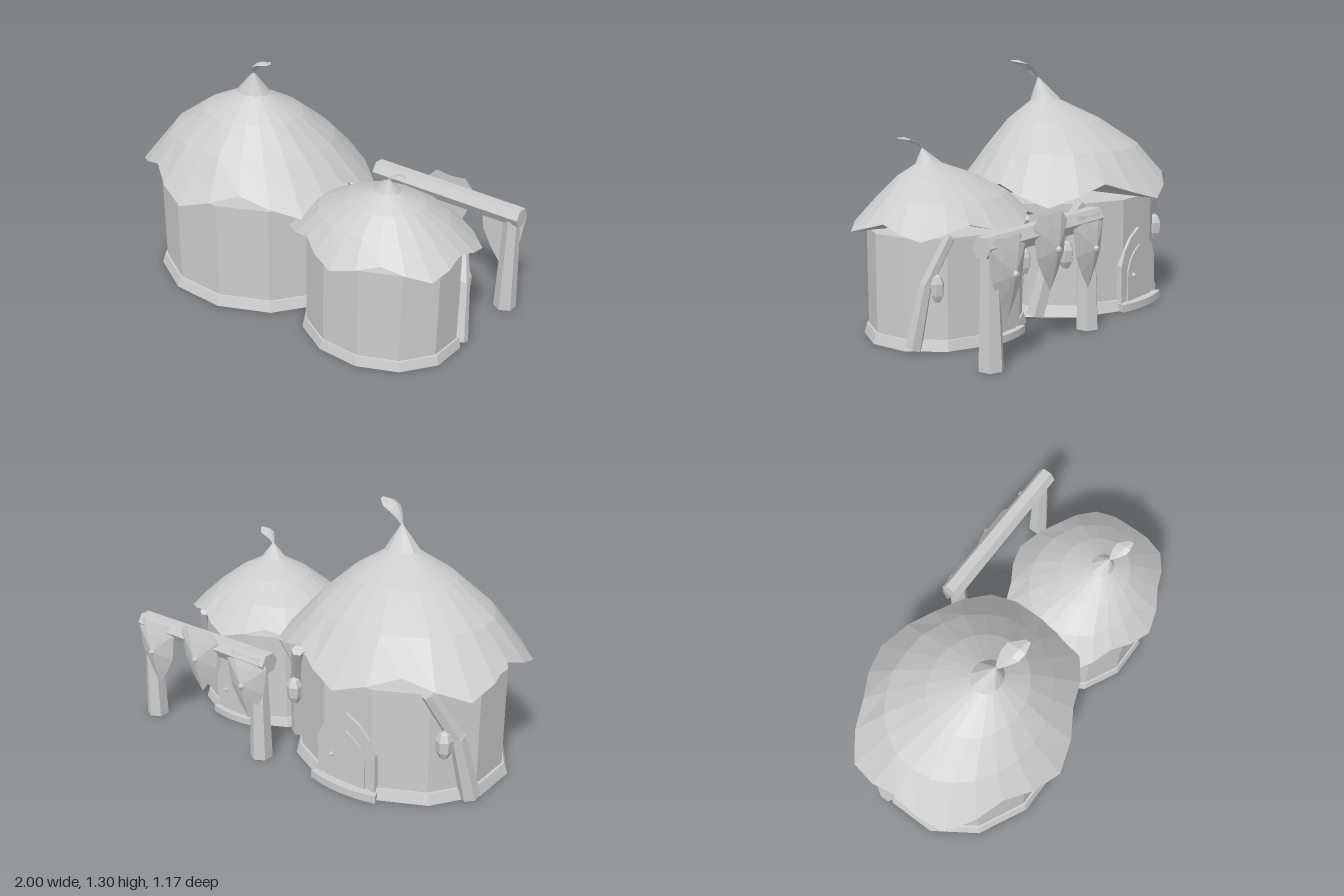
import * as THREE from 'three';

const grey = new THREE.MeshStandardMaterial({ color: 0xcccccc, flatShading: true, side: THREE.DoubleSide });
grey.name = 'plainGrey';
const OVAL = 0.866; // huts are narrower in depth than in width

function add(parent, name, geometry, x = 0, y = 0, z = 0) {
  const mesh = new THREE.Mesh(geometry, grey);
  mesh.name = name;
  mesh.position.set(x, y, z);
  parent.add(mesh);
  return mesh;
}

function group(parent, name) {
  const g = new THREE.Group();
  g.name = name;
  parent.add(g);
  return g;
}

// Skin a list of rings, each an array of [x, y, z] with the same count
function loft(rings, closed = true) {
  const n = rings[0].length, pos = rings.flat(2), index = [];
  for (let j = 0; j < rings.length - 1; j++) {
    for (let i = 0; i < (closed ? n : n - 1); i++) {
      const k = (i + 1) % n, a = j * n, b = a + n;
      index.push(a + i, b + i, b + k, a + i, b + k, a + k);
    }
  }
  const g = new THREE.BufferGeometry();
  g.setAttribute('position', new THREE.Float32BufferAttribute(pos, 3));
  g.setIndex(index);
  const flat = g.toNonIndexed();
  flat.computeVertexNormals();
  return flat;
}

// Oval ring around a shifted centre; shape(i) gives [radius, height]
function ring(n, cx, cz, shape) {
  return Array.from({ length: n }, (_, i) => {
    const a = (i / n) * Math.PI * 2, [r, y] = shape(i);
    return [cx + r * Math.cos(a), y, cz + r * OVAL * Math.sin(a)];
  });
}

// Tapered six-sided timber between two points
function timber(parent, name, from, to, r0, r1) {
  const a = new THREE.Vector3(...from), b = new THREE.Vector3(...to);
  const d = b.clone().sub(a);
  const mesh = add(parent, name, new THREE.CylinderGeometry(r1, r0, d.length(), 6));
  mesh.position.copy(a).add(b).multiplyScalar(0.5);
  mesh.quaternion.setFromUnitVectors(new THREE.Vector3(0, 1, 0), d.normalize());
}

function archPanel(w, side, top, depth) {
  const s = new THREE.Shape();
  s.moveTo(-w, 0);
  s.lineTo(w, 0);
  s.lineTo(w, side);
  s.quadraticCurveTo(w * 0.8, side + (top - side) * 0.7, 0, top);
  s.quadraticCurveTo(-w * 0.8, side + (top - side) * 0.7, -w, side);
  return new THREE.ExtrudeGeometry(s, { depth, bevelEnabled: false, curveSegments: 3 });
}

function roof(parent) {
  // Six drooping points along the eaves, with arches between them
  const droop = [0, 0.5, 1, 0.5];
  const eave = i => {
    const t = droop[i % 4];
    return [0.597 + 0.078 * t, 0.1 - 0.1 * t];
  };
  add(parent, 'thatch', loft([
    ring(24, 0, 0, eave),
    ring(24, 0, 0.015, i => [0.46 + (i % 2) * 0.006, 0.245]),
    ring(24, 0.035, 0.05, () => [0.28, 0.39]),
    ring(24, 0.07, 0.085, () => [0.07, 0.505]),
    ring(24, 0.08, 0.095, () => [0, 0.53]),
  ]));
  add(parent, 'roofUnderside', loft([ring(24, 0, 0, () => [0, 0.004]), ring(24, 0, 0, eave)]));
  add(parent, 'roofCap', loft([
    ring(16, 0.07, 0.082, i => [0.092, i % 2 ? 0.502 : 0.496]),
    ring(16, 0.1, 0.112, () => [0, 0.622]),
  ]));
  // Curled leaf with a raised rib: x, y, centre z, half width
  const leaf = [[0.1, 0.61, 0.115, 0.008], [0.13, 0.645, 0.13, 0.03], [0.165, 0.673, 0.143, 0.05],
    [0.21, 0.692, 0.15, 0.052], [0.267, 0.706, 0.175, 0.015]];
  add(parent, 'roofLeaf', loft(leaf.map(([x, y, z, w]) =>
    [[x, y, z - w], [x, y + w * 0.4, z + w * 0.3], [x, y + w * 0.15, z + w]]), false));
}

function hut(parent, name, x, z, s, wallScale, roofScale) {
  const hutGroup = group(parent, name);
  hutGroup.position.set(x, 0, z);
  hutGroup.scale.set(s, 1, s);

  // Walls start on a raised floor inside an open plinth
  const lower = group(hutGroup, 'walls');
  lower.scale.y = wallScale;
  const drum = (r0, r1, y0, y1, open) => new THREE.CylinderGeometry(r1, r0, y1 - y0, 12, 1, open, Math.PI / 12)
    .scale(1, 1, OVAL).translate(0, (y0 + y1) / 2, 0);
  add(lower, 'wall', drum(0.555, 0.555, 0.05, 0.585, false));
  add(lower, 'plinth', drum(0.588, 0.568, 0, 0.055, true));
  add(lower, 'plinthTop', drum(0.568, 0.555, 0.055, 0.056, true));

  // Doorway on the back
  add(lower, 'doorFrame', archPanel(0.175, 0.22, 0.4, 0.06), 0, 0.02, -0.478);
  add(lower, 'door', archPanel(0.12, 0.18, 0.31, 0.06), 0, 0.02, -0.486);
  add(lower, 'doorKnob', new THREE.SphereGeometry(0.014, 6, 4), 0.075, 0.175, -0.493);
  const sector = new THREE.Shape();
  sector.absarc(0, 0, 0.615, Math.PI / 2 - 0.33, Math.PI / 2 + 0.33, false);
  sector.absarc(0, 0, 0.55, Math.PI / 2 + 0.33, Math.PI / 2 - 0.33, true);
  const step = new THREE.ExtrudeGeometry(sector, { depth: 0.04, bevelEnabled: false, curveSegments: 4 });
  add(lower, 'doorStep', step.rotateX(-Math.PI / 2).scale(1, 1, OVAL));

  // Bent props and hanging lanterns on both sides of the door
  for (const m of [-1, 1]) {
    const prop = group(lower, 'sideProp');
    timber(prop, 'propFoot', [m * 0.535, 0.015, -0.18], [m * 0.49, 0.36, -0.25], 0.053, 0.04);
    timber(prop, 'propArm', [m * 0.49, 0.345, -0.247], [m * 0.39, 0.6, -0.365], 0.04, 0.034);
    const barrel = [[0, -0.075], [0.02, -0.07], [0.039, -0.035], [0.043, 0.025], [0.026, 0.06], [0, 0.075]];
    add(prop, 'lantern', new THREE.LatheGeometry(barrel.map(p => new THREE.Vector2(...p)), 6), m * 0.46, 0.335, -0.315);
    timber(prop, 'lanternCord', [m * 0.46, 0.4, -0.315], [m * 0.45, 0.47, -0.31], 0.006, 0.006);
  }

  const top = group(hutGroup, 'roof');
  top.position.y = 0.585 * wallScale;
  top.scale.y = roofScale;
  roof(top);
}

function shieldRack(parent) {
  const rack = group(parent, 'shieldRack');
  for (const x of [0.155, 0.935]) {
    timber(rack, 'rackPost', [x, 0, -0.498], [x, 0.53, -0.492], 0.06, 0.042);
  }
  timber(rack, 'rackBeam', [0.085, 0.55, -0.49], [0.99, 0.55, -0.49], 0.056, 0.052);

  // Kite shields with a raised centre, the middle one hung higher
  const outline = [[0, 0.155], [0.09, 0.165], [0.135, 0.12], [0.11, -0.03], [0.06, -0.12],
    [0, -0.2], [-0.06, -0.12], [-0.11, -0.03], [-0.135, 0.12], [-0.09, 0.165]];
  [[0.205, 0.42], [0.53, 0.473], [0.86, 0.422]].forEach(([x, y]) => {
    const shield = group(rack, 'shield');
    shield.position.set(x, y, -0.532);
    add(shield, 'shieldFace', loft([
      outline.map(() => [0, 0, 0]),
      outline.map(([px, py]) => [px, py, 0]),
      outline.map(([px, py]) => [px * 0.55, py * 0.55, -0.024]),
      outline.map(() => [0, 0, -0.046]),
    ]));
    add(shield, 'shieldBoss', new THREE.SphereGeometry(0.017, 6, 5), 0, 0, -0.044);
  });
}

export function createModel() {
  const model = new THREE.Group();
  model.name = 'thatchedHuts';
  hut(model, 'largeHut', -0.385, 0, 1, 1, 1);
  hut(model, 'smallHut', 0.545, 0.08, 0.74, 0.9, 0.6);
  shieldRack(model);
  return model;
}
